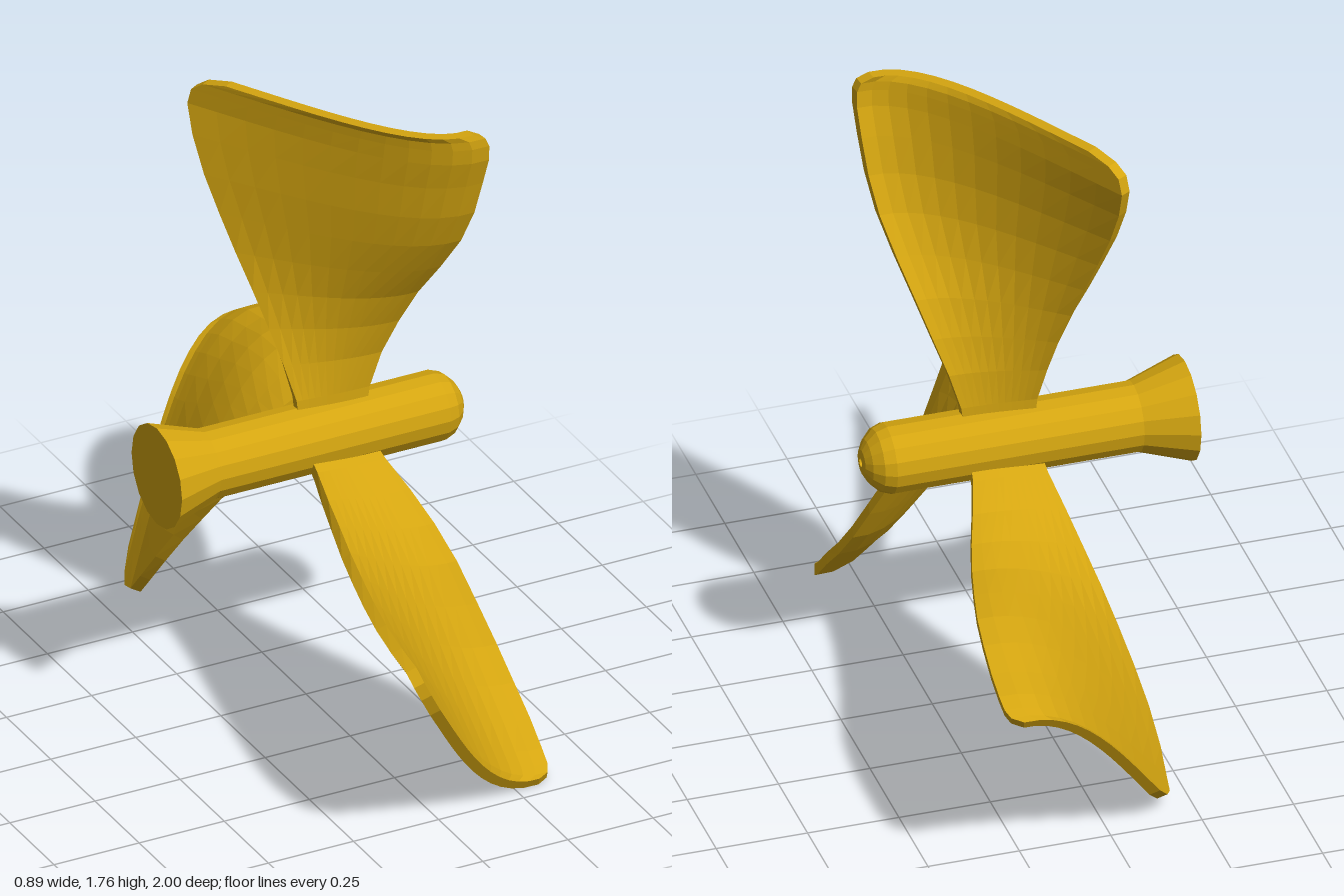
import * as THREE from 'three';

const material = new THREE.MeshStandardMaterial({ color: 0xd4a510, flatShading: true });

// Blade stations: radius, then x and z of the trailing and leading edges
const STATIONS = [
  [0.05, -0.03, 0.16, -0.005, 0.005],
  [0.12, -0.035, 0.17, -0.01, 0.005],
  [0.22, -0.057, 0.20, -0.035, 0.015],
  [0.32, -0.08, 0.235, -0.068, 0.045],
  [0.42, -0.105, 0.268, -0.105, 0.09],
  [0.52, -0.13, 0.30, -0.15, 0.155],
  [0.62, -0.153, 0.328, -0.195, 0.215],
  [0.72, -0.173, 0.345, -0.242, 0.257],
  [0.82, -0.184, 0.355, -0.285, 0.285],
  [0.90, -0.184, 0.36, -0.313, 0.31],
  [0.945, -0.178, 0.358, -0.303, 0.316],
  [0.97, -0.16, 0.347, -0.272, 0.315],
  [0.986, -0.125, 0.315, -0.21, 0.31],
];

// Twisted, cambered blade lofted through closed cross-sections
function bladeGeometry(columns = 12, thickness = 0.03) {
  const positions = [], index = [];
  const n = columns + 1, loop = 2 * n;

  for (const [h, x0, x1, z0, z1] of STATIONS) {
    const camber = 0.2 * (z1 - z0);
    const point = t => new THREE.Vector2(
      THREE.MathUtils.lerp(x0, x1, (t + 1) / 2),
      THREE.MathUtils.lerp(z0, z1, (t + 1) / 2) + camber * (1 - t * t) * (1 + 0.4 * t));
    for (let k = 0; k < loop; k++) {
      const front = k < n;
      const t = -1 + 2 * (front ? k : loop - 1 - k) / columns;
      const p = point(t);
      const d = point(t + 0.01).sub(point(t - 0.01)).normalize();
      const offset = (front ? 0.5 : -0.5) * thickness;
      positions.push(p.x - d.y * offset, h, p.y + d.x * offset);
    }
  }

  // Faces, edges
  for (let i = 0; i < STATIONS.length - 1; i++) {
    for (let k = 0; k < loop; k++) {
      const a = i * loop + k, b = i * loop + (k + 1) % loop;
      index.push(a, b, b + loop, a, b + loop, a + loop);
    }
  }
  // Tip cap
  const top = (STATIONS.length - 1) * loop;
  for (let k = 0; k < columns; k++) {
    const f = top + k, b = top + loop - 1 - k;
    index.push(f, f + 1, b - 1, f, b - 1, b);
  }

  const geometry = new THREE.BufferGeometry();
  geometry.setAttribute('position', new THREE.Float32BufferAttribute(positions, 3));
  geometry.setIndex(index);
  geometry.computeVertexNormals();
  return geometry;
}

export function createModel() {
  const model = new THREE.Group();
  model.name = 'propeller';

  // Hub with flared rear, rounded nose and a small centre hole
  const profile = [
    [0, -0.445], [0.143, -0.445], [0.096, -0.305], [0.096, 0.37],
    [0.085, 0.4], [0.06, 0.425], [0.035, 0.439], [0.012, 0.442], [0.012, 0.425], [0, 0.425],
  ].map(([r, y]) => new THREE.Vector2(r, y));
  const hub = new THREE.Mesh(new THREE.LatheGeometry(profile, 16), material);
  hub.name = 'hub';
  hub.rotation.z = -Math.PI / 2;
  model.add(hub);

  // Three blades around the hub axis
  const geometry = bladeGeometry();
  for (let i = 0; i < 3; i++) {
    const blade = new THREE.Mesh(geometry, material);
    blade.name = `blade${i + 1}`;
    blade.rotation.x = i * Math.PI * 2 / 3;
    model.add(blade);
  }

  model.position.set(0, 0.778, 0.013);
  const root = new THREE.Group();
  root.add(model);
  return root;
}
